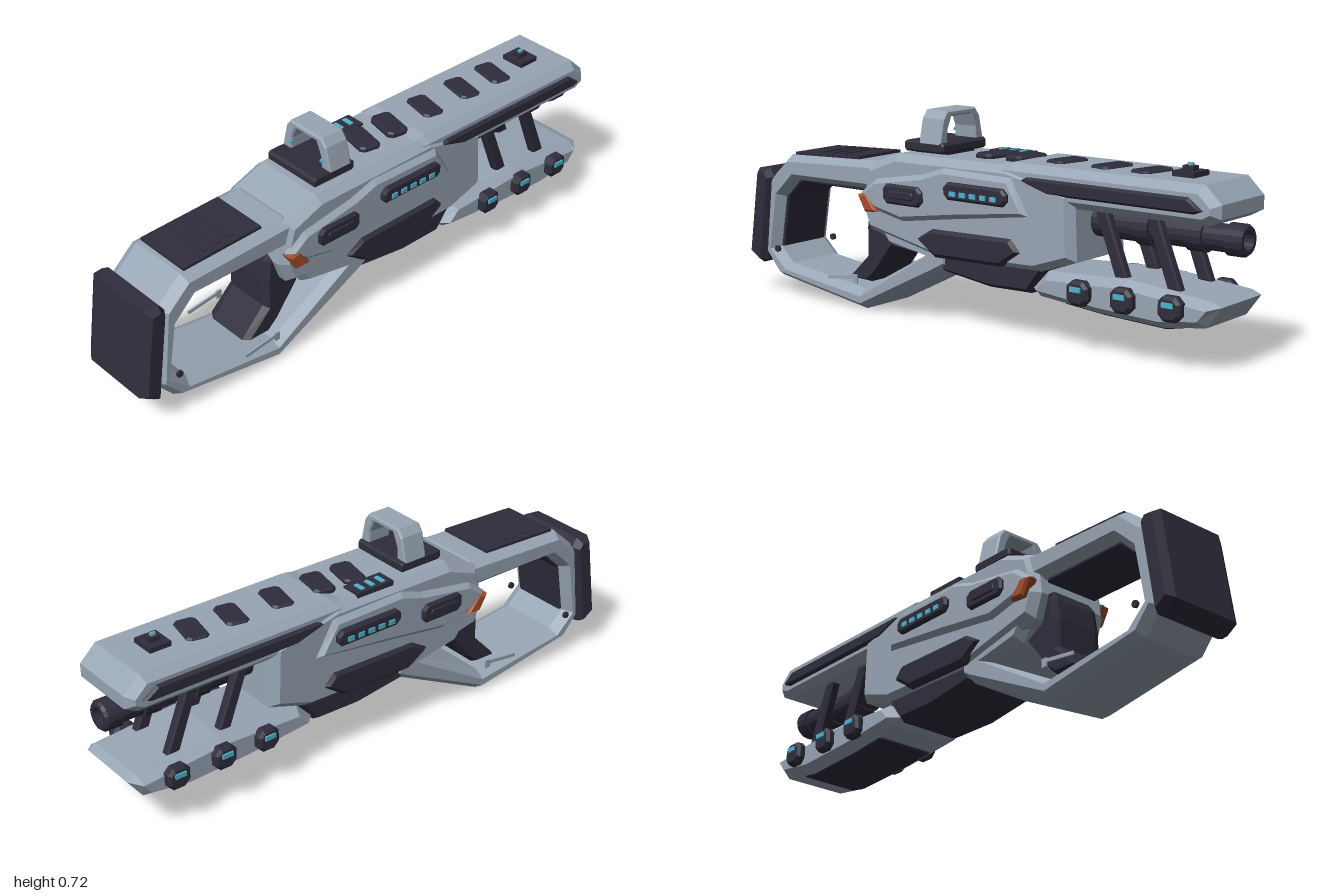
import * as THREE from 'three';

const mat = (name, color) => {
  const m = new THREE.MeshStandardMaterial({ color });
  m.name = name;
  return m;
};

export function createModel() {
  const root = new THREE.Group();
  root.name = 'sciFiRifle';
  const shell = mat('blueGreyShell', 0x98a5b4);
  const dark = mat('darkPolymer', 0x2f2d3c);
  const cyan = mat('cyanLight', 0x4fb3cc);
  const orange = mat('orangeAccent', 0xa34f2c);

  const add = (name, geo, material, x = 0, y = 0, z = 0) => {
    const mesh = new THREE.Mesh(geo, material);
    mesh.name = name;
    mesh.position.set(x, y, z);
    root.add(mesh);
    return mesh;
  };
  const box = (name, m, w, h, d, x, y, z) => add(name, new THREE.BoxGeometry(w, h, d), m, x, y, z);
  const vecs = (pts) => pts.map(([a, b]) => new THREE.Vector2(a, b));

  // Side profile given as [z, y], spanning x0..x1, with chamfered rims
  const prism = (name, m, pts, x0, x1, bx = 0.02, bs = bx, hole = null) => {
    const shape = new THREE.Shape(vecs(pts));
    if (hole) shape.holes.push(new THREE.Path(vecs(hole)));
    const depth = x1 - x0 - 2 * bx;
    const geo = new THREE.ExtrudeGeometry(shape, {
      depth, bevelEnabled: true, bevelThickness: bx, bevelSize: bs, bevelOffset: -bs, bevelSegments: 1,
    });
    geo.translate(0, 0, -depth / 2);
    geo.rotateY(-Math.PI / 2);
    return add(name, geo, m, (x0 + x1) / 2);
  };
  const pair = (name, m, pts, x0, x1, bx, bs) => {
    prism(name + 'Left', m, pts, x0, x1, bx, bs);
    prism(name + 'Right', m, pts, -x1, -x0, bx, bs);
  };
  // Rectangle with cut corners, centred on [z, y]
  const octagon = (z, y, w, h, c) => [
    [z - w / 2 + c, y - h / 2], [z + w / 2 - c, y - h / 2], [z + w / 2, y - h / 2 + c], [z + w / 2, y + h / 2 - c],
    [z + w / 2 - c, y + h / 2], [z - w / 2 + c, y + h / 2], [z - w / 2, y + h / 2 - c], [z - w / 2, y - h / 2 + c],
  ];

  // Skeleton stock with its large hand opening
  prism('stockFrame', shell, [
    [0.90, 0.433], [0.805, 0.52], [0.40, 0.535], [0.30, 0.50], [0.05, 0.36], [0.06, 0.21],
    [0.094, 0.19], [0.453, 0.01], [0.86, 0.075], [0.93, 0.155],
  ], -0.143, 0.143, 0.035, 0.022, [
    [0.77, 0.433], [0.84, 0.365], [0.87, 0.18], [0.81, 0.125], [0.46, 0.08], [0.18, 0.235],
    [0.33, 0.25], [0.41, 0.36], [0.43, 0.435],
  ]);
  prism('buttPad', dark, [
    [0.957, 0.46], [0.905, 0.465], [0.882, 0.433], [0.925, 0.123], [0.945, 0.114], [1.0, 0.15],
  ], -0.152, 0.152, 0.027, 0.016);
  // Dark lining on the top and back of the opening
  prism('stockLining', dark, [
    [0.44, 0.442], [0.775, 0.442], [0.85, 0.37], [0.88, 0.18], [0.862, 0.18], [0.832, 0.362],
    [0.765, 0.424], [0.44, 0.424],
  ], -0.105, 0.105, 0.004);
  // Cheek rest and its ribs
  const rest = new THREE.Group();
  rest.name = 'cheekRest';
  rest.position.set(0, 0.526, 0.637);
  rest.rotation.x = 0.037;
  root.add(rest);
  [[0.216, 0.02, 0.305, 0], [0.17, 0.028, 0.02, -0.05], [0.17, 0.028, 0.02, 0], [0.17, 0.028, 0.02, 0.05]]
    .forEach(([w, h, d, z], i) => {
      const part = new THREE.Mesh(new THREE.BoxGeometry(w, h, d), dark);
      part.name = i ? 'cheekRib' : 'cheekPad';
      part.position.z = z;
      rest.add(part);
    });

  // Grip inside the opening
  prism('grip', dark, [
    [0.44, 0.40], [0.40, 0.30], [0.325, 0.26], [0.42, 0.135], [0.46, 0.10], [0.555, 0.105],
    [0.465, 0.20], [0.465, 0.30], [0.455, 0.37],
  ], -0.1, 0.1, 0.025, 0.012);

  // Receiver core and overlapping upper shroud
  prism('receiver', shell, [
    [0.41, 0.525], [0.28, 0.575], [-0.2, 0.58], [-0.45, 0.52], [-0.46, 0.295], [-0.31, 0.245],
    [0.1, 0.235], [0.41, 0.30], [0.44, 0.38], [0.43, 0.46],
  ], -0.158, 0.158, 0.03, 0.025);
  prism('upperShroud', shell, [
    [-0.14, 0.575], [-0.2, 0.59], [-0.92, 0.59], [-0.978, 0.535], [-0.978, 0.49], [-0.93, 0.465], [-0.25, 0.465],
  ], -0.15, 0.15, 0.028, 0.025);
  pair('sideArmour', shell, [
    [0.43, 0.43], [0.36, 0.485], [0.15, 0.52], [0.06, 0.55], [-0.22, 0.545], [-0.29, 0.425],
    [0.0, 0.385], [0.24, 0.35], [0.36, 0.375],
  ], 0.13, 0.175, 0.018, 0.018);
  pair('shroudRail', dark, [
    [-0.25, 0.54], [-0.28, 0.552], [-0.88, 0.552], [-0.93, 0.515], [-0.90, 0.503], [-0.36, 0.503],
  ], 0.13, 0.162, 0.01, 0.008);

  // Side fittings
  pair('lowerSidePad', dark, [
    [0.18, 0.30], [0.11, 0.342], [-0.22, 0.348], [-0.26, 0.305], [-0.18, 0.25], [0.10, 0.245],
  ], 0.13, 0.17, 0.014, 0.014);
  pair('sidePort', dark, octagon(0.224, 0.443, 0.173, 0.068, 0.018), 0.15, 0.188, 0.008);
  pair('sidePortInset', dark, octagon(0.224, 0.443, 0.11, 0.026, 0.006), 0.16, 0.193, 0.003);
  pair('lightPanel', dark, octagon(-0.09, 0.48, 0.262, 0.058, 0.018), 0.15, 0.192, 0.008);
  pair('orangeLatch', orange, [
    [0.432, 0.425], [0.39, 0.432], [0.345, 0.372], [0.40, 0.368],
  ], 0.135, 0.18, 0.008);
  for (const s of [-1, 1]) {
    for (let i = 0; i < 5; i++) box('panelLight', cyan, 0.008, 0.016, 0.024, s * 0.193, 0.474, -0.005 - i * 0.042);
    // Stock bolts and thin side levers
    const bolt = new THREE.CylinderGeometry(0.012, 0.012, 0.01, 8).rotateZ(Math.PI / 2);
    add('stockBolt', bolt, dark, s * 0.143, 0.177, 0.855);
    box('sideLever', shell, 0.006, 0.012, 0.14, s * 0.15, 0.118, 0.53).rotation.x = 0.13;
    box('sideLeverTip', shell, 0.006, 0.03, 0.02, s * 0.15, 0.12, 0.47);
  }

  // Belly block and foregrip
  prism('belly', dark, [
    [0.10, 0.27], [-0.34, 0.27], [-0.27, 0.168], [-0.10, 0.165], [0.10, 0.192],
  ], -0.135, 0.135, 0.025, 0.015);
  prism('foregrip', shell, [
    [-0.28, 0.188], [-0.34, 0.252], [-0.65, 0.266], [-0.95, 0.238], [-0.982, 0.225],
    [-0.93, 0.155], [-0.78, 0.133], [-0.55, 0.143], [-0.31, 0.165],
  ], -0.15, 0.15, 0.035, 0.025);
  prism('foregripUnderside', dark, [
    [-0.40, 0.17], [-0.84, 0.16], [-0.84, 0.139], [-0.78, 0.127], [-0.55, 0.137], [-0.40, 0.151],
  ], -0.11, 0.11, 0.006, 0.004);
  for (const z of [-0.49, -0.655, -0.83]) {
    pair('gripKnob', dark, octagon(z, 0.208, 0.082, 0.08, 0.02), 0.135, 0.178, 0.01);
    for (const s of [-1, 1]) box('knobLight', cyan, 0.008, 0.016, 0.04, s * 0.18, 0.222, z);
  }

  // Barrel turned from a profile along z, and its slanted struts
  const barrel = new THREE.LatheGeometry(vecs([
    [0, 0.40], [0.05, 0.40], [0.05, 0.62], [0.058, 0.62], [0.058, 0.67], [0.046, 0.67], [0.046, 0.80],
    [0.053, 0.80], [0.053, 0.86], [0.044, 0.86], [0.044, 0.94], [0.052, 0.94], [0.052, 0.99],
    [0.044, 1.0], [0.03, 1.0], [0.03, 0.95], [0, 0.95],
  ]), 16).toNonIndexed();
  barrel.computeVertexNormals();
  barrel.rotateX(-Math.PI / 2);
  add('barrel', barrel, dark, 0, 0.412, 0);
  for (const z of [-0.525, -0.715]) {
    pair('strut', dark, [
      [z + 0.022, 0.48], [z - 0.022, 0.48], [z - 0.112, 0.25], [z - 0.065, 0.25],
    ], 0.07, 0.105, 0.006);
  }

  // Slanted pads along the top
  for (const [z, top] of [[-0.65, 0.598], [-0.5, 0.598], [-0.325, 0.598], [-0.16, 0.598], [-0.035, 0.594]]) {
    const pad = new THREE.ExtrudeGeometry(new THREE.Shape(vecs(octagon(0, 0, 0.135, 0.078, 0.014))), {
      depth: 0.022, bevelThickness: 0.006, bevelSize: 0.006, bevelOffset: -0.006, bevelSegments: 1,
    });
    pad.rotateX(-Math.PI / 2);
    add('topPad', pad, dark, 0, top - 0.028, z).rotation.y = -0.2;
  }

  // Front sight
  box('frontSightBase', dark, 0.088, 0.03, 0.078, 0, 0.592, -0.79);
  box('frontSightBlock', dark, 0.03, 0.02, 0.04, 0, 0.612, -0.79);
  box('frontSightPost', shell, 0.012, 0.026, 0.014, 0, 0.617, -0.79);
  box('frontSightDot', cyan, 0.008, 0.008, 0.02, 0, 0.627, -0.79);

  // Rear sight: base, riser and open hoop
  box('rearSightRiser', dark, 0.14, 0.03, 0.14, 0, 0.577, 0.185);
  prism('rearSightBase', dark, octagon(0.185, 0.602, 0.172, 0.036, 0.008), -0.115, 0.115, 0.006);
  const hoop = new THREE.ExtrudeGeometry(new THREE.Shape(vecs([
    [-0.115, 0.615], [-0.073, 0.615], [-0.07, 0.66], [-0.05, 0.705], [0.05, 0.705], [0.07, 0.66], [0.073, 0.615],
    [0.115, 0.615], [0.096, 0.698], [0.075, 0.725], [-0.075, 0.725], [-0.096, 0.698],
  ])), { depth: 0.08, bevelThickness: 0.006, bevelSize: 0.005, bevelOffset: -0.005, bevelSegments: 1 });
  add('rearSightHoop', hoop, shell, 0, 0, 0.12);
  for (const s of [-1, 1]) box('rearSightDot', cyan, 0.014, 0.009, 0.008, s * 0.077, 0.643, 0.205);

  // Control strip on the right shoulder
  box('controlStrip', dark, 0.072, 0.03, 0.15, -0.102, 0.572, -0.028);
  for (const z of [-0.07, -0.028, 0.014]) box('controlLight', cyan, 0.04, 0.006, 0.016, -0.106, 0.588, z);

  return root;
}
